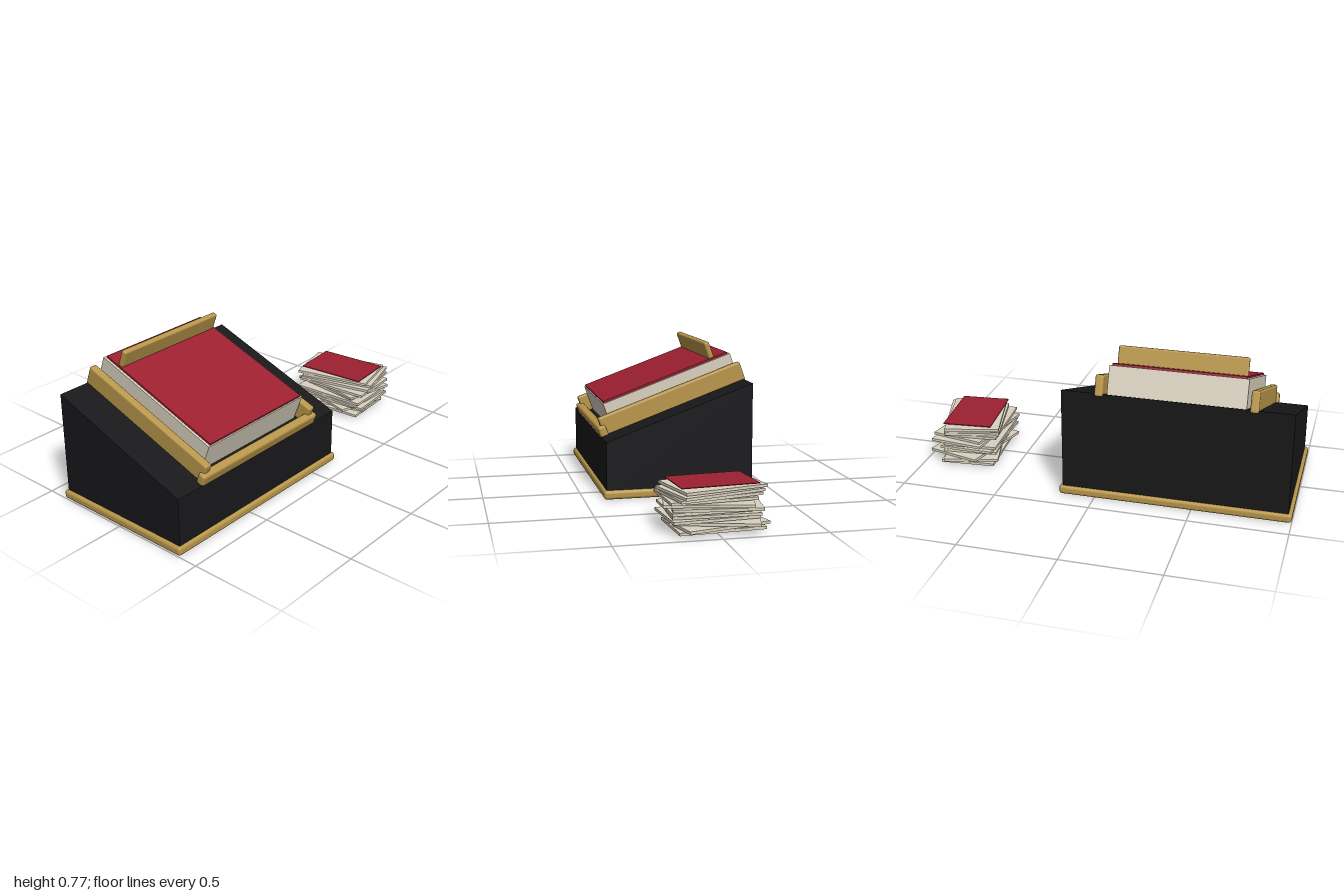
import * as THREE from 'three';
import { RoundedBoxGeometry } from 'three/addons/geometries/RoundedBoxGeometry.js';

const mat = (color) => new THREE.MeshStandardMaterial({ color });
const gold = mat(0xb8964a), black = mat(0x18181a), cream = mat(0xd9d1bf), red = mat(0x9c2030);

function add(parent, name, geometry, material, x, y, z) {
  const mesh = new THREE.Mesh(geometry, material);
  mesh.name = name;
  mesh.position.set(x, y, z);
  parent.add(mesh);
  return mesh;
}
const box = (w, h, d) => new THREE.BoxGeometry(w, h, d);
const rounded = (w, h, d, r) => new RoundedBoxGeometry(w, h, d, 3, r);

export function createModel() {
  const model = new THREE.Group();
  model.name = 'cardDispenser';
  const cx = -0.407;

  // Base plate with a rounded rim
  add(model, 'basePlate', rounded(1.186, 0.046, 0.8, 0.016), gold, cx, 0.024, 0);

  // Wedge body, extruded sideways from its side profile
  const side = new THREE.Shape([
    new THREE.Vector2(-0.385, 0.02), new THREE.Vector2(0.385, 0.02),
    new THREE.Vector2(0.385, 0.575), new THREE.Vector2(-0.385, 0.295),
  ]);
  const wedge = new THREE.ExtrudeGeometry(side, { depth: 1.15, bevelEnabled: false });
  wedge.translate(0, 0, -0.575).rotateY(Math.PI / 2);
  add(model, 'wedgeBody', wedge, black, cx, 0, 0);

  // Everything on the sloped top shares one tilted frame
  const tray = new THREE.Group();
  tray.name = 'slopedTray';
  tray.position.set(cx, 0.435, 0);
  tray.rotation.x = THREE.MathUtils.degToRad(20);
  model.add(tray);

  for (const s of [-1, 1]) {
    add(tray, s > 0 ? 'leftRail' : 'rightRail', rounded(0.042, 0.108, 0.812, 0.011), gold, s * 0.382, 0.041, -0.015);
  }
  add(tray, 'frontLip', rounded(0.84, 0.062, 0.044, 0.013), gold, 0, 0.022, 0.39);
  add(tray, 'cardBlock', box(0.686, 0.146, 0.732), cream, 0, 0.072, -0.033);
  add(tray, 'blockTopCard', box(0.66, 0.01, 0.716), red, 0, 0.15, -0.031);
  add(tray, 'cardStop', rounded(0.65, 0.094, 0.03, 0.01), gold, 0, 0.197, -0.301);

  // Loose stack of cards: [turn, x, z], from the bottom up
  const stack = new THREE.Group();
  stack.name = 'cardStack';
  model.add(stack);
  const cardGeometry = box(0.29, 0.0135, 0.415);
  const cards = [
    [0.07, 0.775, -0.014], [0.25, 0.79, -0.019], [-0.26, 0.79, -0.018], [0.09, 0.775, 0.018],
    [-0.02, 0.77, 0], [0.05, 0.765, 0.013], [-0.12, 0.8, -0.012], [-0.2, 0.79, 0.018],
    [0.07, 0.77, 0.024], [0.22, 0.785, 0.014], [0.28, 0.8, 0.01], [0.24, 0.782, -0.007],
  ];
  cards.forEach(([turn, x, z], i) => {
    add(stack, 'looseCard' + (i + 1), cardGeometry, cream, x, 0.0142 + i * 0.0173, z).rotation.y = turn;
  });
  add(stack, 'stackTopCard', box(0.26, 0.004, 0.376), red, 0.783, 0.222, -0.002).rotation.y = 0.09;

  return model;
}
